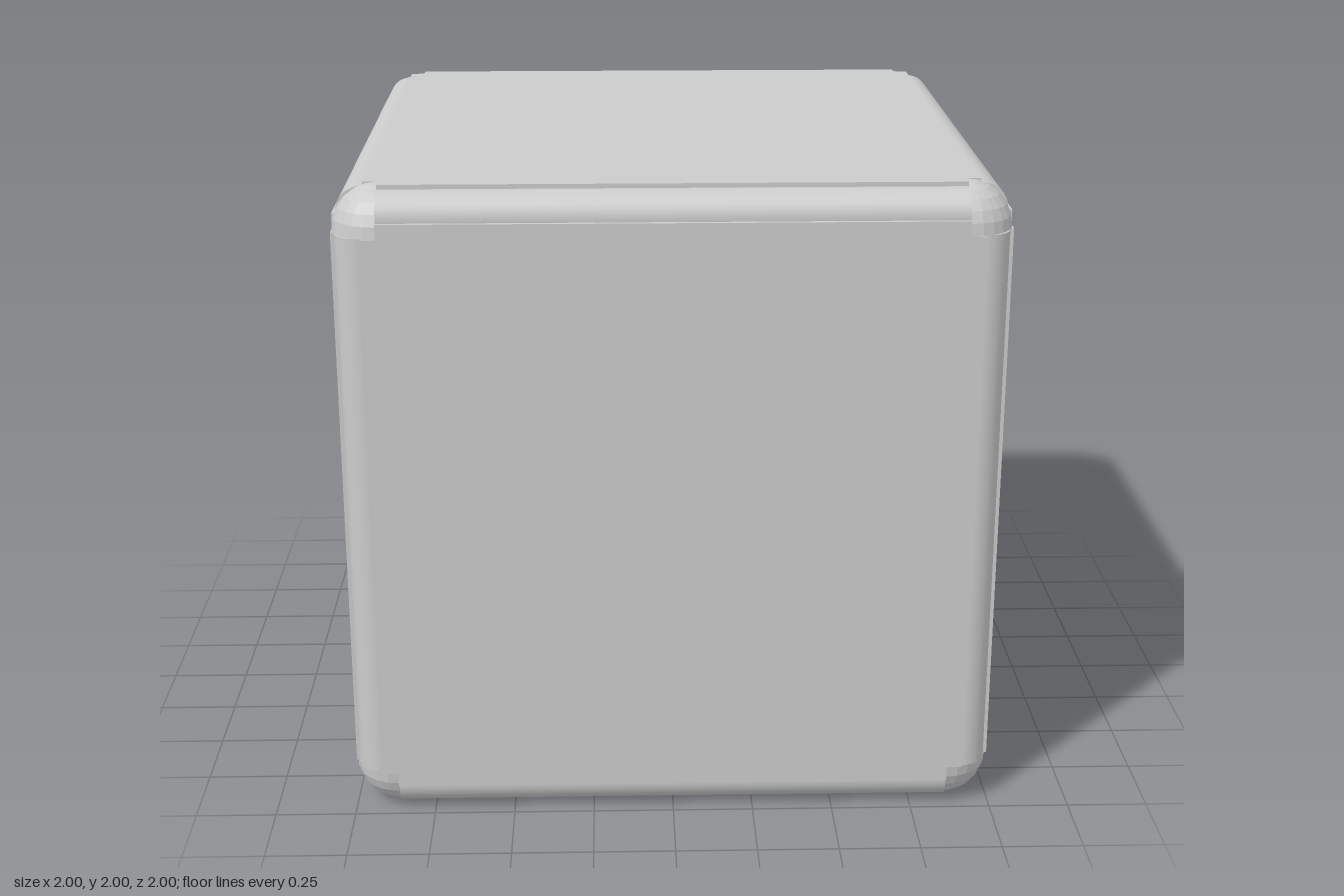
import * as THREE from 'three';

export function createModel() {
  const group = new THREE.Group();
  const smooth = new THREE.MeshStandardMaterial({ color: 0xcccccc });
  const faceted = new THREE.MeshStandardMaterial({ color: 0xcccccc, flatShading: true });
  const CORNER = 0.86, CORNER_R = 0.14; // corner ball centre and radius
  const PANEL = 0.905;                  // half width of a face panel
  const ROD = 0.91, ROD_R = 0.077;      // edge rod centre and radius

  const add = (name, geometry, material, x = 0, y = 0, z = 0) => {
    const mesh = new THREE.Mesh(geometry, material);
    mesh.name = name;
    mesh.position.set(x, y + 1, z);
    group.add(mesh);
    return mesh;
  };

  // Opposite face panels: a square with notched corners, run through the cube
  const a = CORNER, b = PANEL;
  const outline = new THREE.Shape([
    [b, -a], [b, a], [a, a], [a, b], [-a, b], [-a, a],
    [-b, a], [-b, -a], [-a, -a], [-a, -b], [a, -b], [a, -a],
  ].map(([x, y]) => new THREE.Vector2(x, y)));
  const panel = new THREE.ExtrudeGeometry(outline, { depth: 2, bevelEnabled: false });
  panel.translate(0, 0, -1);
  add('frontAndBackPanels', panel, smooth);
  add('sidePanels', panel, smooth).rotation.y = Math.PI / 2;
  add('topAndBottomPanels', panel, smooth).rotation.x = Math.PI / 2;

  // Rounded rods set slightly below the panels along the twelve edges
  const rod = new THREE.CylinderGeometry(ROD_R, ROD_R, 2 * CORNER, 32);
  for (const s of [-1, 1]) {
    for (const t of [-1, 1]) {
      add('uprightEdgeRod', rod, smooth, s * ROD, 0, t * ROD);
      add('crossEdgeRod', rod, smooth, 0, s * ROD, t * ROD).rotation.z = Math.PI / 2;
      add('depthEdgeRod', rod, smooth, s * ROD, t * ROD, 0).rotation.x = Math.PI / 2;
    }
  }

  // Rounded corner caps, one eighth of a ball each, closed by flat ends
  const octant = new THREE.SphereGeometry(CORNER_R, 6, 6, Math.PI / 2, Math.PI / 2, 0, Math.PI / 2);
  const end = new THREE.CircleGeometry(CORNER_R, 6, 0, Math.PI / 2);
  const endMaterial = new THREE.MeshStandardMaterial({ color: 0xcccccc, side: THREE.DoubleSide });
  for (const sx of [-1, 1]) for (const sy of [-1, 1]) for (const sz of [-1, 1]) {
    const cap = new THREE.Group();
    cap.name = 'cornerCap';
    cap.add(new THREE.Mesh(octant, faceted));
    const turns = [[0, 0, 0], [0, -Math.PI / 2, 0], [Math.PI / 2, 0, 0]];
    for (const turn of turns) {
      const face = new THREE.Mesh(end, endMaterial);
      face.rotation.set(...turn);
      cap.add(face);
    }
    cap.scale.set(sx, sy, sz);
    cap.position.set(sx * CORNER, 1 + sy * CORNER, sz * CORNER);
    group.add(cap);
  }
  return group;
}
